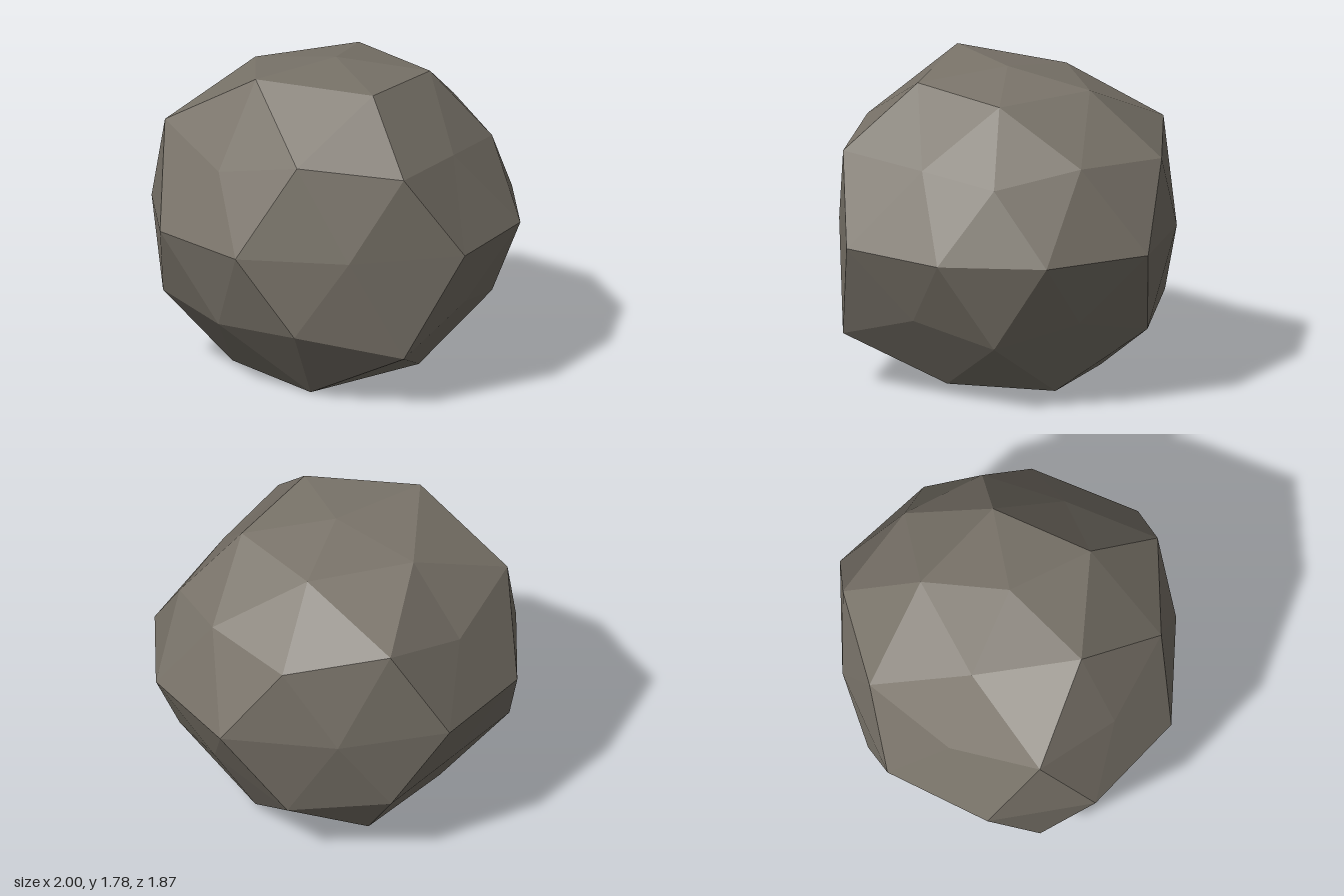
import * as THREE from 'three';

// Rings of a once-subdivided icosahedron, top to bottom.
// Each ring: start angle in degrees, and one distance from the centre per corner.
const A = 0.851, B = 0.526, C = 0.894, D = 0.447;
const MID = [A, B], CORNER = [C, D]; // [outward, upward] parts of a unit direction
const RINGS = [
  { start: 0, dirs: [[B, A]], r: [0.992, 1.035, 1.105, 1.0, 1.007] },
  { start: 0, dirs: [CORNER, MID], r: [0.968, 0.9, 1.115, 1.06, 0.95, 1.115, 0.94, 1.11, 1.11, 1.0] },
  { start: 18, dirs: [[1, 0]], r: [1.051, 1.107, 1.0, 1.054, 1.051, 1.051, 1.054, 1.005, 1.107, 1.051] },
  { start: 0, dirs: [[A, -B], [C, -D]], r: [1.017, 0.945, 1.172, 1.075, 1.0, 1.073, 0.91, 1.067, 1.058, 0.935] },
  { start: 36, dirs: [[B, -A]], r: [1.025, 1.112, 1.095, 1.072, 1.055] },
];
const SCALE = new THREE.Vector3(1, 0.94, 0.935);
const CENTRE_Y = 0.89;

function ringPoints({ start, dirs, r }) {
  return r.map((radius, i) => {
    const angle = THREE.MathUtils.degToRad(start + (i * 360) / r.length);
    const [out, up] = dirs[i % dirs.length];
    return new THREE.Vector3(out * Math.cos(angle), up, out * Math.sin(angle))
      .multiplyScalar(radius).multiply(SCALE);
  });
}

function rockGeometry() {
  const [upper, shoulder, waist, hip, lower] = RINGS.map(ringPoints);
  const top = new THREE.Vector3(0, 0.89, 0);
  const bottom = new THREE.Vector3(0, -0.888, 0);
  const at = (ring, i) => ring[(i + ring.length) % ring.length];
  const points = [];
  const tri = (a, b, c) => points.push(a, b, c);

  // Caps and the bands next to them
  for (let k = 0; k < 5; k++) {
    const u = at(upper, k), uNext = at(upper, k + 1);
    const s = (i) => at(shoulder, 2 * k + i);
    tri(top, uNext, u);
    tri(u, s(1), s(0));
    tri(u, uNext, s(1));
    tri(uNext, s(2), s(1));

    const l = at(lower, k), lNext = at(lower, k + 1);
    const h = (i) => at(hip, 2 * k + 1 + i);
    tri(bottom, l, lNext);
    tri(h(0), h(1), l);
    tri(h(1), lNext, l);
    tri(h(1), h(2), lNext);
  }
  // Two bands around the waist
  for (let j = 0; j < 10; j++) {
    const w = at(waist, j), wPrev = at(waist, j - 1);
    tri(at(shoulder, j), at(shoulder, j + 1), w);
    tri(at(shoulder, j), w, wPrev);
    tri(w, at(hip, j + 1), at(hip, j));
    tri(wPrev, w, at(hip, j));
  }
  const geometry = new THREE.BufferGeometry().setFromPoints(points);
  geometry.computeVertexNormals();
  return geometry;
}

export function createModel() {
  const stone = new THREE.MeshStandardMaterial({ color: 0x7a746a, flatShading: true });
  stone.name = 'stone';
  const rock = new THREE.Mesh(rockGeometry(), stone);
  rock.name = 'rock';
  rock.position.y = CENTRE_Y;
  const group = new THREE.Group();
  group.name = 'boulder';
  group.add(rock);
  return group;
}
